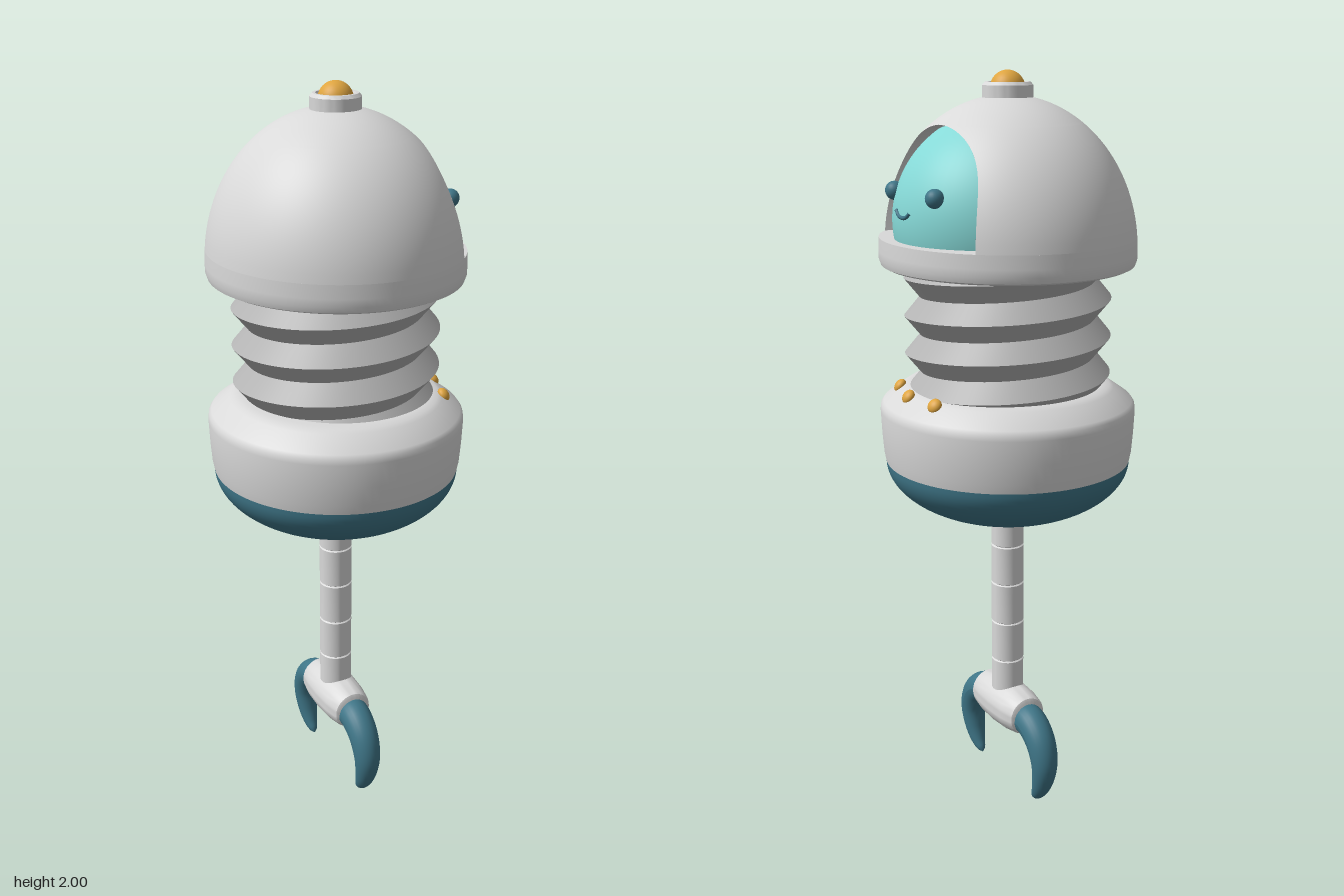
import * as THREE from 'three';
import { mergeVertices, toCreasedNormals } from 'three/addons/utils/BufferGeometryUtils.js';

const { sin, cos, PI, sqrt, asin, min } = Math;

const paint = (name, color, side = THREE.FrontSide) => {
  const m = new THREE.MeshStandardMaterial({ color, side });
  m.name = name;
  return m;
};

// Surface from f(u, v) -> [x, y, z]; the front lies along du x dv
function grid(nu, nv, f) {
  const pos = [], idx = [];
  for (let j = 0; j <= nv; j++) for (let i = 0; i <= nu; i++) pos.push(...f(i / nu, j / nv));
  for (let j = 0; j < nv; j++) for (let i = 0; i < nu; i++) {
    const a = j * (nu + 1) + i, b = a + 1, d = a + nu + 1, c = d + 1;
    idx.push(a, b, c, a, c, d);
  }
  let g = new THREE.BufferGeometry();
  g.setAttribute('position', new THREE.Float32BufferAttribute(pos, 3));
  g.setIndex(idx);
  g = mergeVertices(g, 1e-5);
  g.computeVertexNormals();
  return g;
}

const lathe = (pts, segs = 72, crease = 0.5) =>
  toCreasedNormals(new THREE.LatheGeometry(pts.map(p => new THREE.Vector2(...p)), segs), crease);

// Tube whose radius follows a rule along its length
function taperedTube(curve, segs, sides, radiusAt) {
  const g = new THREE.TubeGeometry(curve, segs, 1, sides), p = g.attributes.position;
  const v = new THREE.Vector3();
  for (let i = 0; i < p.count; i++) {
    const t = Math.floor(i / (sides + 1)) / segs, c = curve.getPointAt(t);
    v.fromBufferAttribute(p, i).sub(c).multiplyScalar(radiusAt(t)).add(c);
    p.setXYZ(i, v.x, v.y, v.z);
  }
  g.computeVertexNormals();
  return g;
}

export function createModel() {
  const root = new THREE.Group();
  const white = paint('shellWhite', 0xd9d9d9, THREE.DoubleSide);
  const grey = paint('neckGrey', 0xb4b4b4);
  const darkTeal = paint('darkTeal', 0x3f7688);
  const aqua = paint('faceAqua', 0x86d9d7);
  const amber = paint('amber', 0xdfa540);

  const add = (name, geo, mat, parent = root) => {
    const m = new THREE.Mesh(geo, mat);
    m.name = name;
    parent.add(m);
    return m;
  };

  // Helmet: half ellipsoid with an arched window facing +x
  const helmet = new THREE.Group();
  helmet.name = 'helmet';
  helmet.scale.z = 1.04;
  root.add(helmet);
  const R = 0.333, Y0 = 1.55, H = 0.39, SILL = 1.585, ARCH = 0.285;
  const onDome = (angle, y) => {
    const r = R * sqrt(Math.max(0, 1 - ((y - Y0) / H) ** 2));
    return [r * cos(angle), y, -r * sin(angle)];
  };
  const windowAngle = s => 0.785 * sqrt(Math.max(0, 1 - s ** 6));
  const archTop = asin((SILL + ARCH - Y0) / H);
  add('helmetDome', grid(96, 40, (u, v) => {
    const t = min(1, v / 0.6), s = 1 - (1 - t) ** 2;
    const cap = Math.max(0, (v - 0.6) / 0.4);
    const y = cap > 0 ? Y0 + H * sin(archTop + (PI / 2 - archTop) * cap) : SILL + ARCH * s;
    const e = cap > 0 ? 0 : windowAngle(s);
    return onDome(e + u * (2 * PI - 2 * e), y);
  }), white, helmet);
  add('windowFrame', grid(64, 1, (u, v) => {
    const k = u * 2 - 1, s = 1 - k * k;
    const [x, y, z] = onDome(Math.sign(k) * windowAngle(s), SILL + ARCH * s);
    return [x - 0.06 * v, y - 0.005 * v * s, z * (1 - 0.1 * v)];
  }), white, helmet);
  add('helmetRim', lathe([[0.2, 1.57], [0.272, 1.57], [0.282, 1.522], [0.295, 1.51], [0.318, 1.51],
    [0.328, 1.515], [0.333, 1.53], [0.333, 1.55], [0.3317, SILL], [0.18, SILL]], 96), white, helmet);

  // Face behind the window
  const face = new THREE.Group();
  face.name = 'face';
  root.add(face);
  const head = add('head', new THREE.SphereGeometry(1, 64, 32, 0, PI * 2, 0, 1.74), aqua, face);
  head.scale.set(0.305, 0.28, 0.268);
  head.position.y = 1.63;
  for (const s of [1, -1]) {
    add('eye', new THREE.SphereGeometry(0.024, 24, 16), darkTeal, face).position.set(0.27, 1.705, s * 0.109);
  }
  const smile = new THREE.CatmullRomCurve3([[-0.037, 1.665], [-0.02, 1.653], [0, 1.649], [0.02, 1.653], [0.037, 1.665]]
    .map(([z, y]) => new THREE.Vector3(0.304 - z * z * 2, y, z)));
  add('mouth', new THREE.TubeGeometry(smile, 24, 0.005, 8), darkTeal, face);

  // Lamp on top
  add('lampCollar', lathe([[0.065, 1.9], [0.065, 1.963], [0.058, 1.971], [0.05, 1.971], [0.044, 1.96], [0, 1.96]], 48), white);
  add('lamp', new THREE.SphereGeometry(0.045, 32, 20), amber).position.y = 1.955;

  // Neck: screw thread with sharp ridges
  const pitch = 0.1;
  const neck = new THREE.Group();
  neck.name = 'neck';
  root.add(neck);
  for (let k = -4; k < 6; k++) {
    add('threadFace', grid(72, 1, (u, v) => {
      const r = (k + v) % 2 === 0 ? 0.273 : 0.232, a = u * 2 * PI;
      return [r * cos(a), 1.285 + pitch * (u + (k + v) / 2), -r * sin(a)];
    }), grey, neck);
  }

  // Body: collar ring above a bowl
  add('body', lathe([[0, 0.985], [0.329, 0.985], [0.334, 1.01], [0.338, 1.06], [0.341, 1.125], [0.339, 1.14],
    [0.332, 1.15], [0.283, 1.185], [0.272, 1.192], [0.25, 1.195], [0.2, 1.195]], 96), white).scale.z = 1.01;
  const bowl = [];
  for (let i = 0; i <= 24; i++) {
    const a = (i / 24) * PI / 2;
    bowl.push([0.329 * sin(a), 0.985 - 0.17 * cos(a)]);
  }
  add('bowl', lathe(bowl, 96), darkTeal).scale.z = 1.01;
  for (const z of [0.138, 0.021, -0.095]) {
    const b = add('button', new THREE.SphereGeometry(0.02, 20, 14), amber);
    const a = asin(z / 0.288);
    b.position.set(0.288 * cos(a), 1.184, z);
    b.rotation.set(0, -a, -0.95);
    b.scale.y = 0.7;
  }

  // Arm: stacked tube sections with thin grooves between
  const arm = [];
  const joints = [0.27, 0.385, 0.5, 0.617, 0.73, 0.85];
  for (let i = 0; i < 5; i++) {
    arm.push([0.041, joints[i]], [0.045, joints[i] + 0.003], [0.045, joints[i + 1] - 0.003], [0.041, joints[i + 1]]);
  }
  add('arm', lathe(arm, 40), white);

  // Hand: rounded barrel lying along z
  const hand = add('handBarrel', lathe([[0, -0.113], [0.045, -0.113], [0.053, -0.109], [0.057, -0.1], [0.064, -0.06],
    [0.067, 0], [0.064, 0.06], [0.057, 0.1], [0.053, 0.109], [0.045, 0.113], [0, 0.113]], 48), white);
  hand.rotation.x = PI / 2;
  hand.position.y = 0.242;

  // Claws: curved, tapering to points
  for (const s of [1, -1]) {
    const path = new THREE.CatmullRomCurve3([[0.085, 0.234], [0.13, 0.232], [0.177, 0.197], [0.2, 0.14], [0.193, 0.08], [0.172, 0.035], [0.145, 0.006]]
      .map(([z, y]) => new THREE.Vector3(0, y, s * z)));
    add('claw', taperedTube(path, 40, 24, t => 0.045 * sqrt(Math.max(0.0004, 1 - t ** 1.8))), darkTeal);
  }
  return root;
}
